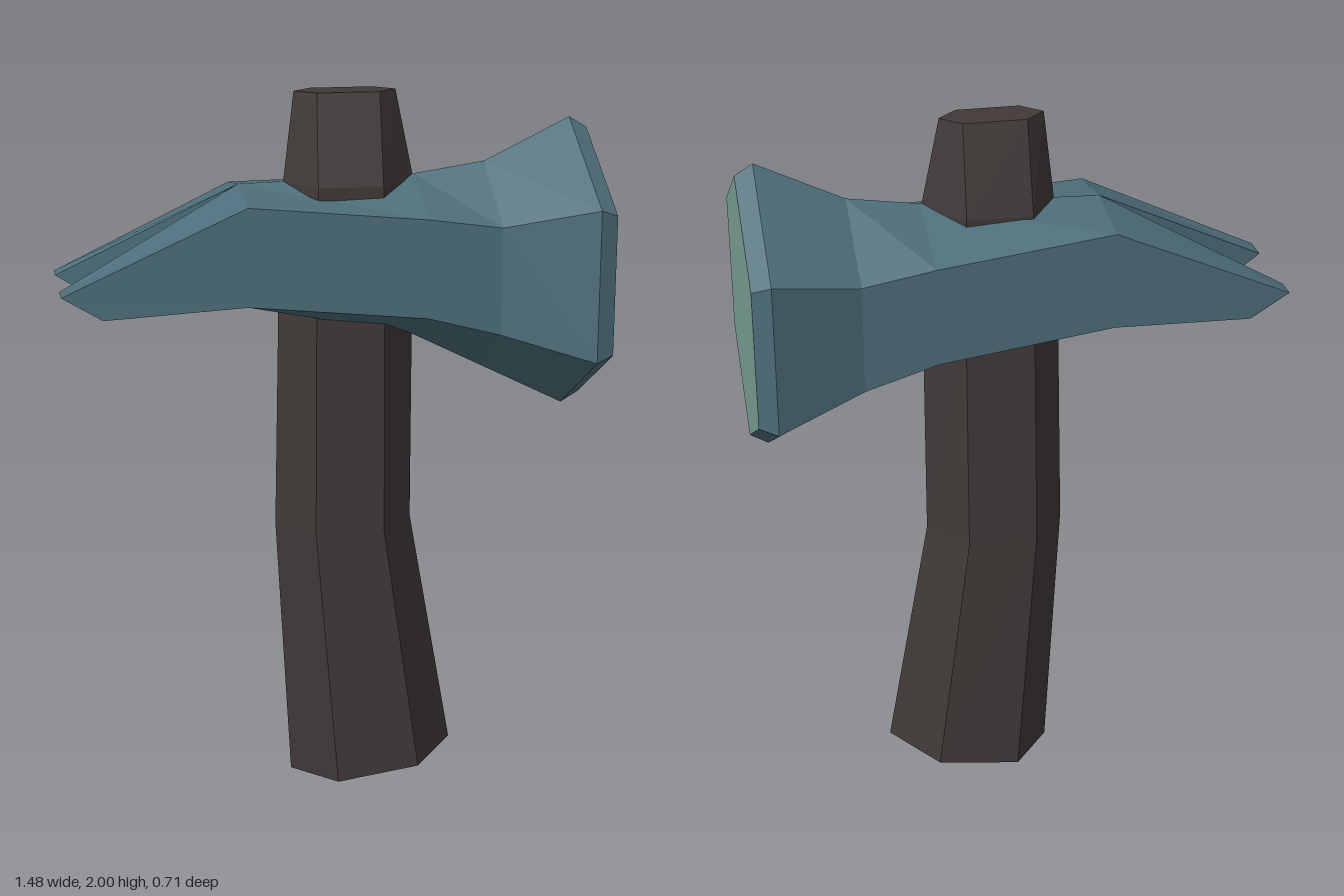
import * as THREE from 'three';

const steel = new THREE.MeshStandardMaterial({ color: 0x4d6e7b });
steel.name = 'blue steel';
const faceGreen = new THREE.MeshStandardMaterial({ color: 0x7aa096 });
faceGreen.name = 'pale green striking face';
const wood = new THREE.MeshStandardMaterial({ color: 0x403938 });
wood.name = 'dark wood';

// Faceted skin over rings of points; rings run counter-clockwise about the direction of travel.
function loft(name, material, rings, capStart, capEnd) {
  const pos = [];
  const tri = (a, b, c) => pos.push(...a, ...b, ...c);
  const n = rings[0].length;
  for (let r = 0; r + 1 < rings.length; r++) {
    const a = rings[r], b = rings[r + 1];
    for (let i = 0; i < n; i++) {
      const j = (i + 1) % n;
      tri(a[i], a[j], b[j]);
      tri(a[i], b[j], b[i]);
    }
  }
  const first = rings[0], last = rings[rings.length - 1];
  for (let i = 1; i + 1 < n; i++) {
    if (capStart) tri(first[0], first[i + 1], first[i]);
    if (capEnd) tri(last[0], last[i], last[i + 1]);
  }
  const geo = new THREE.BufferGeometry();
  geo.setAttribute('position', new THREE.Float32BufferAttribute(pos, 3));
  geo.computeVertexNormals();
  const mesh = new THREE.Mesh(geo, material);
  mesh.name = name;
  return mesh;
}

// Handle section: left tip, left flat, right flat, right tip (x) with the tips' heights
function handleRing([xl, ml, mr, xr, half, yl, yr]) {
  const p = (x, z) => [x, yl + (yr - yl) * (x - xl) / (xr - xl), z];
  return [p(xr, 0), p(mr, -half), p(ml, -half), p(xl, 0), p(ml, half), p(mr, half)];
}

// Head section: top, upper corner, lower corner and bottom heights, back and front half widths
function headRing([x, top, up, low, bottom, back, front]) {
  return [[x, top, 0], [x, up, front], [x, low, front], [x, bottom, 0], [x, low, -back], [x, up, -back]];
}

export function createModel() {
  const group = new THREE.Group();
  group.name = 'hammer';

  // Bent hexagonal handle, tapering above the head
  const handle = [
    [-0.10, 0.015, 0.25, 0.375, 0.157, 0.003, 0.07],
    [-0.142, -0.045, 0.15, 0.25, 0.128, 0.77, 0.77],
    [-0.13, -0.04, 0.15, 0.25, 0.113, 1.40, 1.40],
    [-0.115, -0.035, 0.145, 0.25, 0.11, 1.75, 1.75],
    [-0.085, -0.03, 0.143, 0.197, 0.055, 2.0, 2.0],
  ].map(handleRing);
  group.add(loft('handle', wood, handle, true, true));

  // Head body flaring out to the striking end
  const head = [
    [-0.24, 1.75, 1.72, 1.45, 1.45, 0.21, 0.206],
    [0.25, 1.765, 1.677, 1.405, 1.31, 0.249, 0.227],
    [0.45, 1.795, 1.65, 1.353, 1.21, 0.265, 0.235],
    [0.69, 1.912, 1.71, 1.292, 1.09, 0.355, 0.352],
    [0.74, 1.882, 1.692, 1.307, 1.12, 0.332, 0.332],
  ].map(headRing);
  group.add(loft('headBody', steel, head, false, false));

  // Striking face closing the flared end
  group.add(loft('strikingFace', faceGreen, [head[head.length - 1]], false, true));

  // Two claw prongs splitting from the back of the head
  for (const [name, s, tipZ, rootZ] of [['frontClaw', 1, 0.185, 0.206], ['backClaw', -1, 0.17, 0.21]]) {
    const rings = [
      [[-0.74, 1.49, s * 0.108], [-0.74, 1.49, s * tipZ], [-0.63, 1.425, s * (tipZ + 0.006)], [-0.63, 1.425, s * 0.084]],
      [[-0.24, 1.75, 0], [-0.24, 1.72, s * rootZ], [-0.24, 1.45, s * rootZ], [-0.24, 1.45, 0]],
    ];
    if (s < 0) rings.forEach((r) => r.reverse());
    group.add(loft(name, steel, rings, true, false));
  }
  return group;
}
